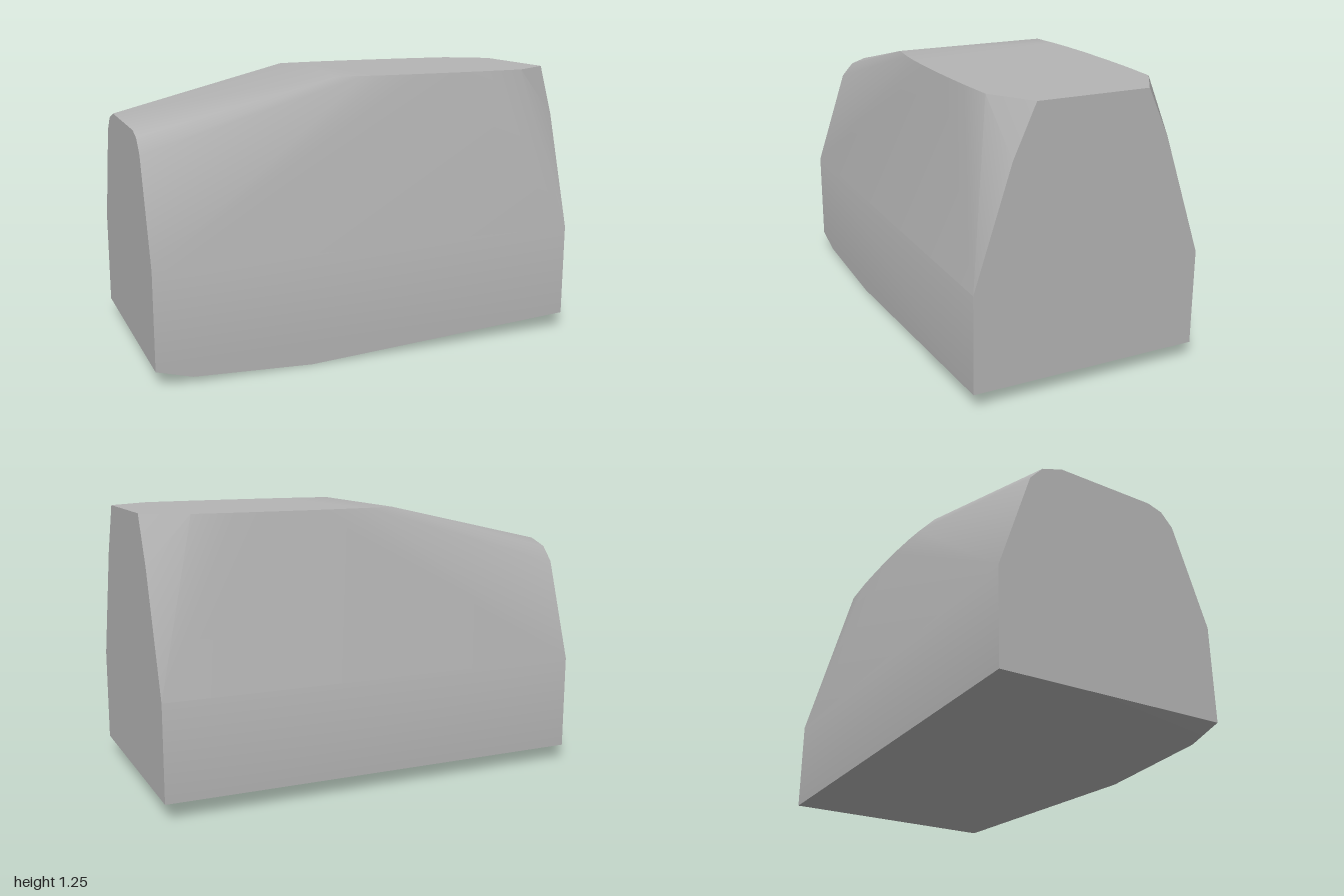
import * as THREE from 'three';
import { ConvexGeometry } from 'three/addons/geometries/ConvexGeometry.js';
import { toCreasedNormals } from 'three/addons/utils/BufferGeometryUtils.js';

export function createModel() {
  const group = new THREE.Group();
  group.name = 'taperedBlock';
  const grey = new THREE.MeshStandardMaterial({ color: 0xb4b4b4 });
  grey.name = 'stoneGrey';

  const points = [];
  const add = (x, y, z) => points.push(new THREE.Vector3(x, y, z));

  // Lower walls: upright corners at both ends
  for (const z of [-0.527, 0.527]) {
    add(-1, 0.07, z);
    add(1, 0.075, z);
    add(-1, 0.507, z);
    add(1, 0.507, z);
  }

  // Shallow belly, lowest along the front edge
  add(-0.84, 0.025, 0.527);
  add(-0.3, 0, 0.527);
  add(-0.3, 0.004, 0.1);
  add(-0.3, 0.02, -0.15);

  // Rounded shoulder of the low end, as z and y
  const lowEnd = [
    [0.375, 0.965], [0.32, 1.027], [0.25, 1.05],
    [-0.21, 1.062], [-0.31, 1.03], [-0.372, 0.963],
  ];
  for (const [z, y] of lowEnd) add(-1, y, z);

  // Outline of the flat top, as x, front z and back z
  const top = [
    [-0.13, 0.37, -0.357], [0, 0.386, -0.374], [0.1, 0.394, -0.382],
    [0.25, 0.398, -0.388], [0.45, 0.398, -0.388], [0.63, 0.393, -0.383],
    [0.81, 0.383, -0.37], [1, 0.26, -0.245],
  ];
  for (const [x, front, back] of top) {
    add(x, 1.253, front);
    add(x, 1.253, back);
  }

  // Chamfered corners of the high end
  add(1, 1.03, 0.36);
  add(1, 1.04, -0.345);

  const body = new THREE.Mesh(toCreasedNormals(new ConvexGeometry(points), 0.5), grey);
  body.name = 'body';
  group.add(body);
  return group;
}
